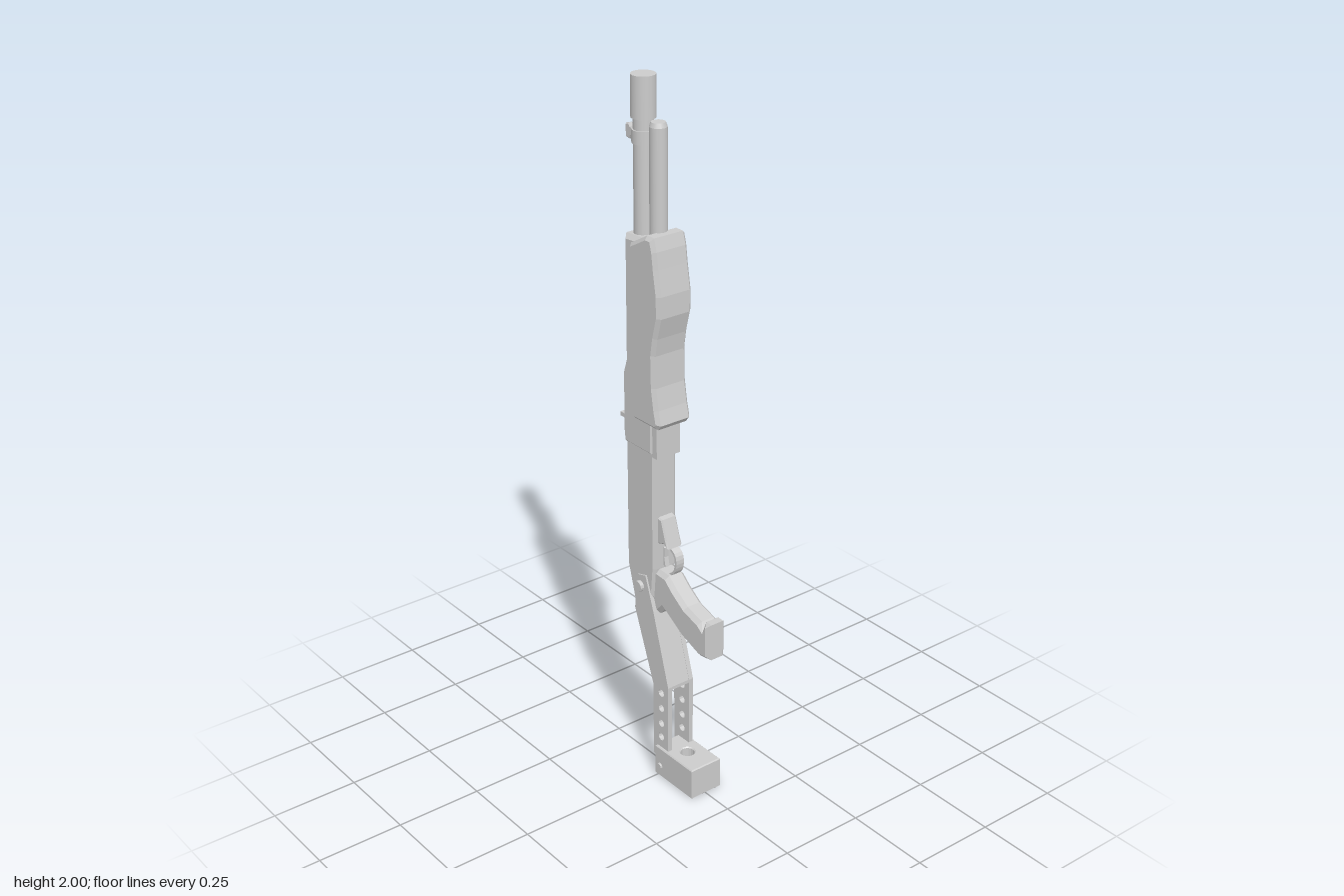
import * as THREE from 'three';

const mat = new THREE.MeshStandardMaterial({ color: 0xcccccc, side: THREE.DoubleSide });
const flat = new THREE.MeshStandardMaterial({ color: 0xcccccc, flatShading: true });

export function createModel() {
  const group = new THREE.Group();

  function add(name, geometry, x = 0, y = 0, z = 0, material = mat) {
    const mesh = new THREE.Mesh(geometry, material);
    mesh.name = name;
    mesh.position.set(x, y, z);
    group.add(mesh);
    return mesh;
  }

  // Side profile given as [z, y] points, extruded to a full width across x
  function slab(points, width, bevel = 0, holes = []) {
    const shape = new THREE.Shape(points.map(([z, y]) => new THREE.Vector2(z, y)));
    for (const [z, y, r] of holes) {
      shape.holes.push(new THREE.Path().absarc(z, y, r, 0, Math.PI * 2, true));
    }
    const depth = width - 2 * bevel;
    const geometry = new THREE.ExtrudeGeometry(shape, {
      depth, curveSegments: 6, bevelEnabled: bevel > 0, bevelSegments: 1,
      bevelSize: bevel, bevelThickness: bevel, bevelOffset: -bevel,
    });
    return geometry.translate(0, 0, -depth / 2).rotateY(-Math.PI / 2);
  }

  const rod = (r, y0, y1, sides = 16) =>
    new THREE.CylinderGeometry(r, r, y1 - y0, sides).translate(0, (y0 + y1) / 2, 0);

  // Tubes
  add('barrel', rod(0.027, 1.5, 1.92), 0, 0, -0.113);
  add('muzzle', rod(0.033, 1.89, 2), 0, 0, -0.113);
  add('lowerTube', rod(0.0235, 1.5, 1.88), 0, 0, -0.053);
  add('lowerTubeCap', new THREE.CylinderGeometry(0.019, 0.0235, 0.012, 16), 0, 1.886, -0.053);

  // Front sight: a band and a thin tapered blade
  add('frontSightBand', rod(0.031, 1.825, 1.86), 0, 0, -0.113);
  add('frontSight', slab([[-0.13, 1.83], [-0.16, 1.83], [-0.165, 1.822], [-0.18, 1.825],
    [-0.18, 1.86], [-0.165, 1.864], [-0.16, 1.856], [-0.13, 1.856]], 0.014, 0.003));

  // Top cover
  add('topCover', slab([[-0.025, 0.99], [-0.155, 0.99], [-0.16, 1.03], [-0.16, 1.2], [-0.147, 1.24],
    [-0.147, 1.585], [-0.075, 1.59], [-0.025, 1.55]], 0.086, 0.012));
  add('frontLug', slab([[-0.014, 0.99], [-0.06, 0.99], [-0.06, 1.12], [-0.014, 1.12]], 0.078));

  // Rear sight: folded leaf on a small base
  add('rearSightBase', slab([[-0.15, 1.045], [-0.168, 1.045], [-0.172, 1.09],
    [-0.164, 1.16], [-0.15, 1.16]], 0.042, 0.003));
  add('rearSightLeaf', new THREE.BoxGeometry(0.042, 0.012, 0.04), 0, 1.054, -0.176);

  // Contoured fore grip
  add('foreGrip', slab([[-0.012, 1.61], [-0.002, 1.575], [0.004, 1.53], [0.016, 1.46], [0.016, 1.4],
    [0, 1.34], [-0.008, 1.29], [-0.006, 1.2], [0.004, 1.14], [0.014, 1.1], [0.002, 1.085],
    [-0.098, 1.085], [-0.1, 1.105], [-0.115, 1.11], [-0.118, 1.54], [-0.108, 1.572],
    [-0.075, 1.59], [-0.04, 1.61]], 0.112, 0.01));

  // Receiver
  add('receiver', slab([[-0.027, 1.05], [-0.15, 1.05], [-0.149, 0.625], [-0.112, 0.495],
    [-0.09, 0.487], [-0.035, 0.56], [-0.027, 0.65]], 0.078, 0.008));

  // Pistol grip
  add('pistolGrip', slab([[-0.06, 0.65], [0.015, 0.645], [0.05, 0.615], [0.095, 0.585], [0.155, 0.567],
    [0.167, 0.557], [0.175, 0.576], [0.196, 0.575], [0.196, 0.466], [0.155, 0.46], [0.08, 0.487],
    [0.0, 0.535], [-0.025, 0.508], [-0.06, 0.54]], 0.064, 0.012));

  // Trigger guard
  add('guardBase', slab([[-0.035, 0.81], [-0.012, 0.805], [0.006, 0.75], [0.014, 0.725],
    [-0.005, 0.735], [-0.035, 0.725]], 0.05, 0.004));
  const bow = new THREE.CatmullRomCurve3([[0.727, 0.01], [0.712, 0.031], [0.685, 0.037],
    [0.657, 0.029], [0.64, 0.01]].map(([y, z]) => new THREE.Vector3(0, y, z)));
  const bowPoints = bow.getPoints(10).map(p => [p.z, p.y]);
  const inner = bowPoints.map(([z, y]) => [z - 0.007, 0.684 + (y - 0.684) * 0.9]).reverse();
  add('triggerGuard', slab([...bowPoints, ...inner], 0.026));
  add('trigger', slab([[-0.035, 0.715], [-0.022, 0.71], [-0.024, 0.68], [-0.018, 0.652],
    [-0.035, 0.66]], 0.014));

  // Folding stock: two perforated arms joined by a front web, open at the back
  const holes = [0.275, 0.225, 0.175, 0.13].map(y => [0.009, y, 0.012]);
  const arm = slab([[-0.06, 0.62], [-0.095, 0.61], [-0.108, 0.5], [-0.027, 0.29], [-0.025, 0.06],
    [-0.01, 0.055], [0.04, 0.06], [0.04, 0.305], [-0.025, 0.52]], 0.014, 0, holes);
  const pin = new THREE.CylinderGeometry(0.016, 0.016, 0.014, 12).rotateZ(Math.PI / 2);
  const bolt = new THREE.CylinderGeometry(0.01, 0.01, 0.008, 10).rotateZ(Math.PI / 2);
  for (const [side, s] of [['left', 1], ['right', -1]]) {
    add(side + 'StockArm', arm, s * 0.037);
    add(side + 'PivotPin', pin, s * 0.048, 0.58, -0.082, flat);
    add(side + 'ButtBolt', bolt, s * 0.053, 0.035, 0.012, flat);
  }
  add('stockWeb', slab([[0.039, 0.295], [0.039, 0.305], [-0.026, 0.52], [-0.04, 0.515],
    [0.025, 0.3], [0.025, 0.295]], 0.074));

  // Butt block with a vertical hole
  const butt = new THREE.Shape([[-0.051, -0.082], [0.051, -0.082], [0.051, 0.082], [-0.051, 0.082]]
    .map(([x, z]) => new THREE.Vector2(x, z)));
  butt.holes.push(new THREE.Path().absarc(0, 0, 0.02, 0, Math.PI * 2, true));
  add('buttBlock', new THREE.ExtrudeGeometry(butt, {
    depth: 0.089, curveSegments: 8, bevelSize: 0.003, bevelThickness: 0.003, bevelOffset: -0.003, bevelSegments: 1,
  }).rotateX(-Math.PI / 2), 0, 0.003, 0.072);

  return group;
}
